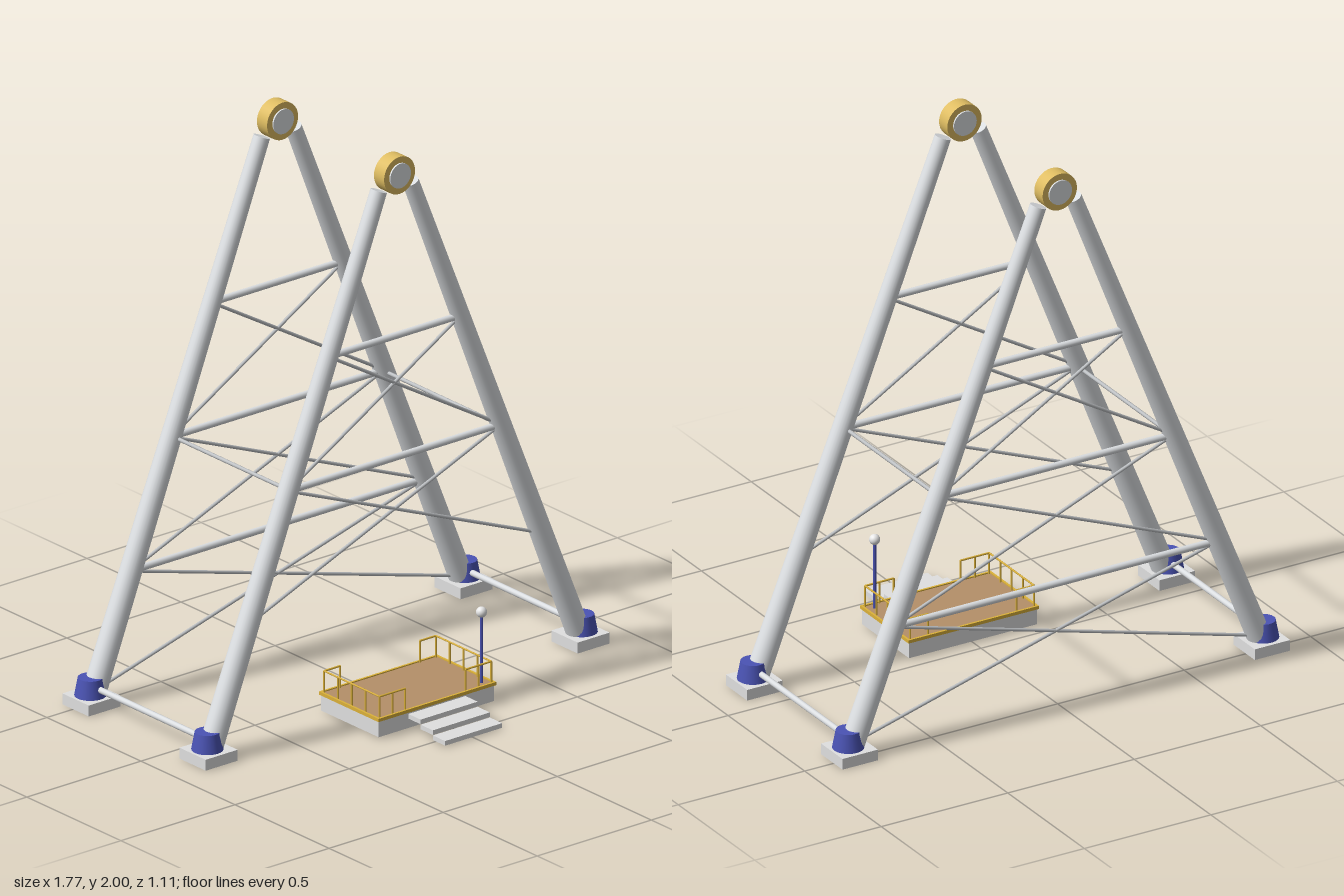
import * as THREE from 'three';

const mat = (name, color) => {
  const m = new THREE.MeshStandardMaterial({ color });
  m.name = name;
  return m;
};

export function createModel() {
  const steel = mat('light steel', 0xdcdfe2);
  const brace = mat('brace grey', 0xbfc2c5);
  const concrete = mat('concrete', 0xe0e0e0);
  const blue = mat('blue paint', 0x4a53b4);
  const gold = mat('gold paint', 0xdfbd62);
  const yellow = mat('railing yellow', 0xdcb23a);
  const wood = mat('deck brown', 0xb59069);
  const white = mat('lamp white', 0xeaeaea);

  const model = new THREE.Group();
  model.name = 'supportTower';

  const V = (x, y, z) => new THREE.Vector3(x, y, z);
  const add = (parent, name, geo, material, x = 0, y = 0, z = 0) => {
    const mesh = new THREE.Mesh(geo, material);
    mesh.name = name;
    mesh.position.set(x, y, z);
    parent.add(mesh);
    return mesh;
  };
  const box = (parent, name, m, w, h, d, x, y, z) =>
    add(parent, name, new THREE.BoxGeometry(w, h, d), m, x, y, z);
  // Round bar between two points, r0 at a and r1 at b
  const bar = (parent, name, m, a, b, r0, r1 = r0, sides = 12) => {
    const dir = b.clone().sub(a);
    const mesh = add(parent, name, new THREE.CylinderGeometry(r1, r0, dir.length(), sides), m);
    mesh.position.copy(a).add(b).multiplyScalar(0.5);
    mesh.quaternion.setFromUnitVectors(V(0, 1, 0), dir.normalize());
    return mesh;
  };

  // Leg centre line: x for a given height
  const foot = { x: 0.802, y: 0.05 }, top = { x: 0.069, y: 1.886 };
  const legX = (y) => foot.x + (top.x - foot.x) * (y - foot.y) / (top.y - foot.y);
  const levels = [0.05, 0.447, 0.891, 1.336];
  const frameZ = [0.135, -0.487];

  // Two A-frames
  frameZ.forEach((z, i) => {
    const frame = new THREE.Group();
    frame.name = i ? 'backFrame' : 'frontFrame';
    model.add(frame);
    for (const s of [-1, 1]) {
      box(frame, 'footing', concrete, 0.14, 0.04, 0.14, s * 0.815, 0.02, z);
      add(frame, 'ankle', new THREE.CylinderGeometry(0.043, 0.055, 0.065, 24), blue, s * 0.82, 0.0725, z);
      bar(frame, 'leg', steel, V(s * foot.x, foot.y, z), V(s * top.x, top.y, z), 0.042, 0.029, 24);
    }
    // Beams and crossed braces; the lowest bay of the front frame stays open
    levels.forEach((y, k) => {
      if (k === 0 || (k === 1 && i === 0)) return;
      const x = legX(y), low = levels[k - 1], lx = legX(low);
      bar(frame, 'beam', steel, V(-x, y, z), V(x, y, z), 0.012);
      for (const s of [-1, 1])
        bar(frame, 'brace', brace, V(s * lx, low, z), V(-s * x, y, z), 0.006, 0.006, 8);
    });
    // Bearing at the apex
    const hub = add(frame, 'bearing', new THREE.CylinderGeometry(0.068, 0.068, 0.054, 32), gold, 0, 1.932, z);
    const cap = add(frame, 'bearingCap', new THREE.CylinderGeometry(0.045, 0.045, 0.066, 32), steel, 0, 1.932, z);
    hub.rotation.x = cap.rotation.x = Math.PI / 2;
  });

  // Ties between the frames
  for (const s of [-1, 1]) {
    bar(model, 'lowerTie', steel, V(s * 0.815, 0.071, frameZ[1]), V(s * 0.815, 0.071, frameZ[0]), 0.011);
    bar(model, 'middleTie', brace, V(s * 0.46, 0.891, frameZ[1]), V(s * 0.46, 0.891, frameZ[0]), 0.007, 0.007, 8);
  }

  // Boarding platform
  const platform = new THREE.Group();
  platform.name = 'platform';
  platform.position.z = 0.205;
  model.add(platform);
  box(platform, 'platformBase', concrete, 0.506, 0.06, 0.306, 0, 0.035, 0);
  box(platform, 'deck', wood, 0.504, 0.008, 0.304, 0, 0.067, 0);
  for (const s of [-1, 1]) {
    box(platform, 'rimLong', yellow, 0.516, 0.012, 0.008, 0, 0.069, s * 0.154);
    box(platform, 'rimShort', yellow, 0.008, 0.012, 0.3, s * 0.254, 0.069, 0);
  }

  // Steps
  for (let i = 0; i < 3; i++)
    box(model, 'step', concrete, 0.25, 0.017, 0.065, 0, 0.049 - i * 0.0185, 0.393 + i * 0.065);

  // Railings with a gap for the steps in front and a wider one behind
  const railing = (a, b, posts) => {
    bar(platform, 'handrail', yellow, a, b, 0.0035, 0.0035, 6);
    for (let i = 0; i < posts; i++) {
      const p = a.clone().lerp(b, i / (posts - 1));
      bar(platform, 'railPost', yellow, V(p.x, 0.07, p.z), p, 0.0035, 0.0035, 6);
    }
  };
  for (const s of [-1, 1]) {
    railing(V(s * 0.245, 0.15, -0.147), V(s * 0.245, 0.15, 0.147), 5);
    railing(V(s * 0.245, 0.15, 0.147), V(s * 0.132, 0.15, 0.147), 3);
    railing(V(s * 0.245, 0.15, -0.147), V(s * 0.175, 0.15, -0.147), 2);
  }

  // Lamp
  bar(platform, 'lampPost', blue, V(0.222, 0.07, 0.123), V(0.222, 0.32, 0.123), 0.006, 0.006, 10);
  add(platform, 'lampGlobe', new THREE.SphereGeometry(0.019, 20, 14), white, 0.222, 0.329, 0.123);

  return model;
}
